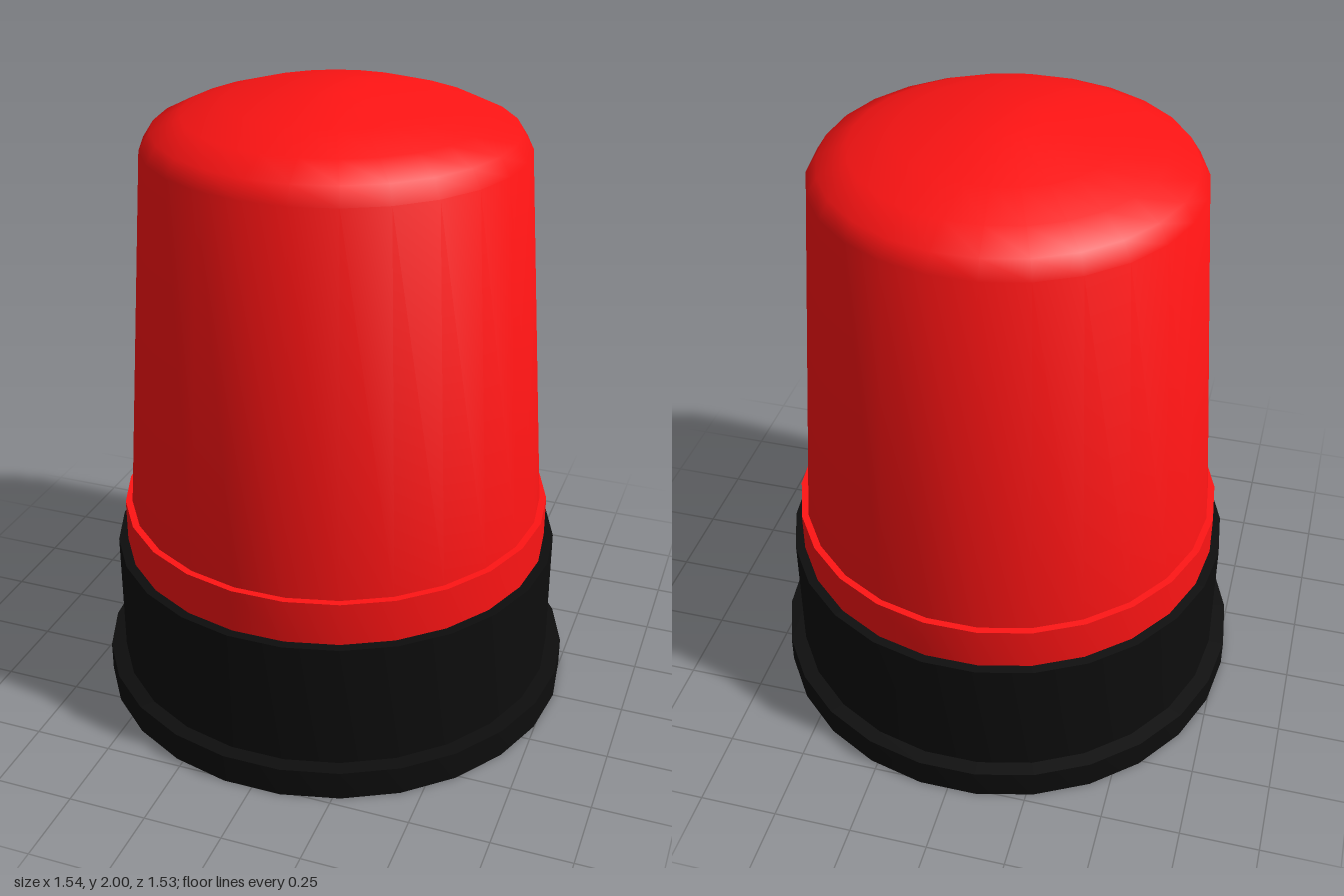
import * as THREE from 'three';
import { toCreasedNormals } from 'three/addons/utils/BufferGeometryUtils.js';

const SIDES = 26;

// Revolve a profile listed from the bottom up, with sharp edges kept sharp
function turned(name, color, profile) {
  const points = profile.map(([r, y]) => new THREE.Vector2(r, y));
  const geometry = new THREE.LatheGeometry(points, SIDES, Math.PI / 2);
  const material = new THREE.MeshStandardMaterial({ color });
  const mesh = new THREE.Mesh(toCreasedNormals(geometry, 0.75), material);
  mesh.name = name;
  return mesh;
}

export function createModel() {
  const group = new THREE.Group();
  group.name = 'warningLight';

  // Black foot with a wider flange at the bottom
  group.add(turned('base', 0x0d0d0d, [
    [0, 0], [0.77, 0], [0.77, 0.095], [0.72, 0.095], [0.72, 0.51], [0, 0.51],
  ]));

  // Red lens: collar, tapered wall, rounded shoulder and shallow crown
  group.add(turned('lens', 0xff1414, [
    [0.69, 0.51], [0.69, 0.65], [0.668, 0.65], [0.583, 1.825], [0.55, 1.877],
    [0.46, 1.92], [0.33, 1.96], [0.1, 2], [0, 2],
  ]));

  return group;
}
